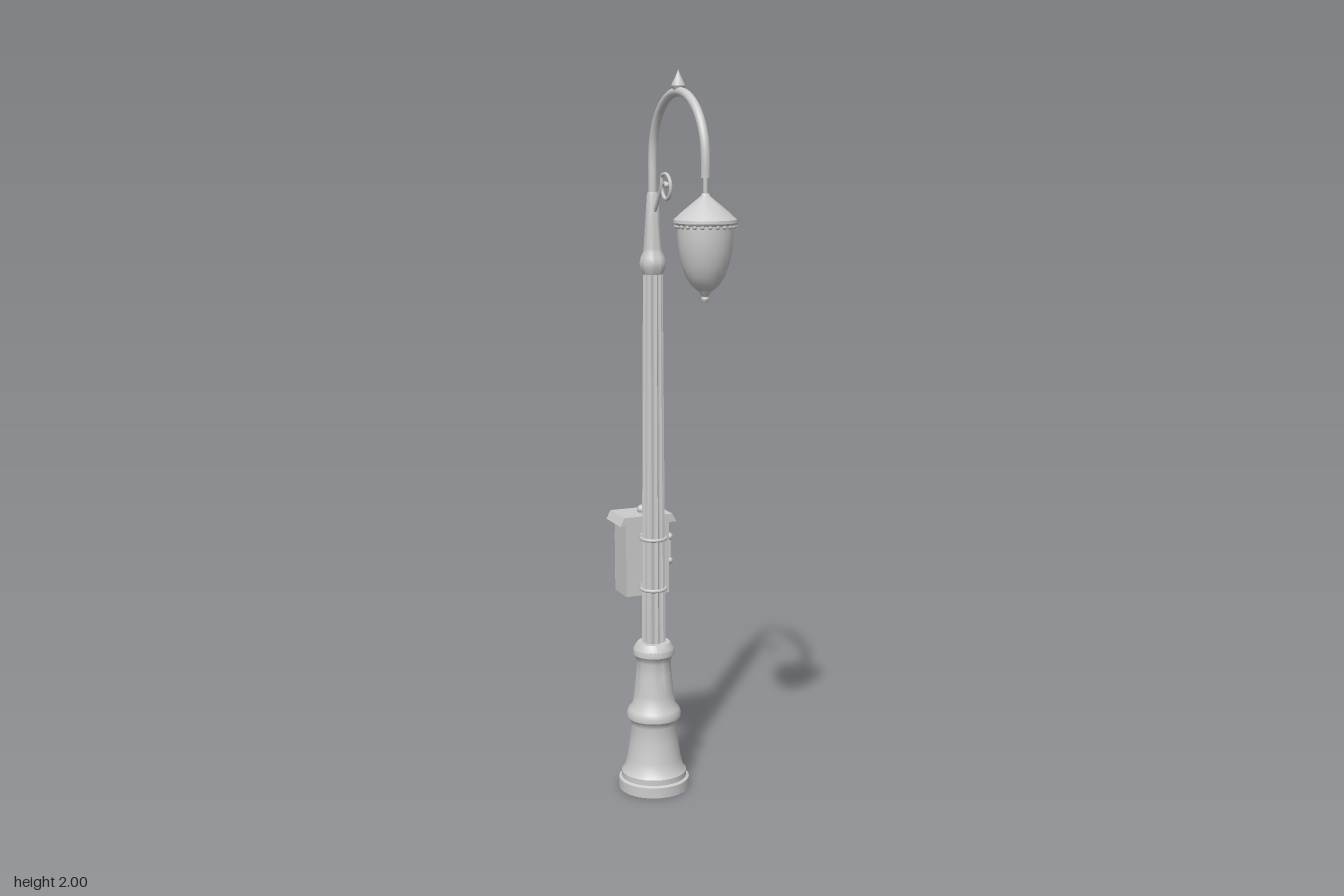
import * as THREE from 'three';
import { toCreasedNormals } from 'three/addons/utils/BufferGeometryUtils.js';

const POLE_Z = -0.14, LAMP_Z = 0.2, BOX_Z = -0.225;
const material = new THREE.MeshStandardMaterial({ color: 0xcccccc, side: THREE.DoubleSide });

function add(parent, name, geometry, x = 0, y = 0, z = 0) {
  const mesh = new THREE.Mesh(geometry, material);
  mesh.name = name;
  mesh.position.set(x, y, z);
  parent.add(mesh);
  return mesh;
}

// Turned part from [radius, height] pairs, bottom to top
function turned(profile, sides = 32) {
  const points = profile.map(([r, y]) => new THREE.Vector2(r, y));
  return toCreasedNormals(new THREE.LatheGeometry(points, sides), 0.6);
}

function tube(points, radius, segments = 32, sides = 8) {
  const curve = new THREE.CatmullRomCurve3(points.map((p) => new THREE.Vector3(...p)));
  return new THREE.TubeGeometry(curve, segments, radius, sides);
}

// Tapered shaft with twelve rounded grooves
function flutedShaft(bottomRadius, topRadius, height) {
  const g = new THREE.CylinderGeometry(topRadius, bottomRadius, height, 96, 1, true);
  const p = g.attributes.position;
  for (let i = 0; i < p.count; i++) {
    const a = Math.atan2(p.getZ(i), p.getX(i));
    const k = 1 - 0.17 * Math.pow(Math.abs(Math.sin(a * 6)), 0.8);
    p.setX(i, p.getX(i) * k);
    p.setZ(i, p.getZ(i) * k);
  }
  return toCreasedNormals(g, 0.6);
}

function createPost() {
  const post = new THREE.Group();
  post.name = 'post';
  post.position.z = POLE_Z;
  add(post, 'base', turned([
    [0, 0], [0.1, 0], [0.1, 0.03], [0.092, 0.034], [0.092, 0.05], [0.083, 0.062],
    [0.076, 0.09], [0.069, 0.14], [0.065, 0.19], [0.068, 0.202], [0.076, 0.21],
    [0.077, 0.222], [0.072, 0.235], [0.06, 0.25], [0.056, 0.28], [0.05, 0.34],
    [0.048, 0.375], [0.051, 0.385], [0.058, 0.395], [0.058, 0.412], [0.046, 0.43], [0, 0.432],
  ]));
  add(post, 'flutedShaft', flutedShaft(0.034, 0.027, 1.06), 0, 0.95, 0);
  add(post, 'neck', turned([
    [0, 1.46], [0.027, 1.465], [0.034, 1.48], [0.036, 1.495], [0.033, 1.51],
    [0.026, 1.525], [0.025, 1.535], [0.021, 1.6], [0.016, 1.675], [0.013, 1.685], [0, 1.685],
  ], 24));
  return post;
}

function createArm() {
  const arm = new THREE.Group();
  arm.name = 'arm';
  // Half-circle gooseneck with straight ends
  const path = [[0, 1.66, POLE_Z], [0, 1.72, POLE_Z]];
  for (let i = 0; i <= 12; i++) {
    const a = Math.PI * (1 - i / 12);
    path.push([0, 1.775 + 0.17 * Math.sin(a), 0.03 + 0.17 * Math.cos(a)]);
  }
  path.push([0, 1.735, LAMP_Z]);
  add(arm, 'gooseneck', tube(path, 0.012, 56, 12));
  add(arm, 'gooseneckEnd', new THREE.CylinderGeometry(0.012, 0.012, 0.004, 12), 0, 1.735, LAMP_Z);
  add(arm, 'finial', turned([
    [0, 1.945], [0.013, 1.95], [0.018, 1.96], [0.015, 1.968], [0.007, 1.984], [0, 2],
  ], 16), 0, 0, 0.03);
  // Scroll bracket
  const scroll = [[0, 1.635, -0.125], [0, 1.67, -0.1], [0, 1.705, -0.08]];
  for (let i = 0; i <= 18; i++) {
    const a = 0.9 + i * 0.42, r = 0.041 - i * 0.0016;
    scroll.push([0, 1.696 + r * Math.sin(a), -0.051 - r * Math.cos(a)]);
  }
  add(arm, 'scroll', tube(scroll, 0.005, 80));
  add(arm, 'scrollTip', new THREE.SphereGeometry(0.008, 10, 8), ...scroll[scroll.length - 1]);
  return arm;
}

function createLantern() {
  const lantern = new THREE.Group();
  lantern.name = 'lantern';
  lantern.position.z = LAMP_Z;
  add(lantern, 'hanger', new THREE.CylinderGeometry(0.006, 0.006, 0.07, 10), 0, 1.715, 0);
  add(lantern, 'hood', turned([
    [0.068, 1.616], [0.077, 1.616], [0.081, 1.622], [0.08, 1.63], [0.058, 1.65],
    [0.03, 1.673], [0.012, 1.688], [0.008, 1.695], [0, 1.695],
  ], 24));
  add(lantern, 'globe', turned([
    [0, 1.446], [0.02, 1.452], [0.036, 1.466], [0.05, 1.488], [0.061, 1.518],
    [0.068, 1.553], [0.071, 1.59], [0.07, 1.62], [0, 1.622],
  ], 24));
  add(lantern, 'drop', turned([
    [0, 1.42], [0.007, 1.423], [0.01, 1.43], [0.008, 1.437], [0.013, 1.444], [0.018, 1.452], [0, 1.455],
  ], 14));
  // Beads under the rim
  for (let i = 0; i < 24; i++) {
    const a = (i / 24) * Math.PI * 2;
    add(lantern, 'rimBead', new THREE.SphereGeometry(0.006, 8, 6), 0.074 * Math.cos(a), 1.614, 0.074 * Math.sin(a));
  }
  return lantern;
}

function createControlBox() {
  const box = new THREE.Group();
  box.name = 'controlBox';
  add(box, 'cabinet', new THREE.BoxGeometry(0.13, 0.21, 0.085), 0, 0.66, BOX_Z);
  // Sloped-side roof
  const roof = new THREE.Shape([[-0.085, 0], [0.085, 0], [0.072, 0.024], [-0.072, 0.024]]
    .map(([x, y]) => new THREE.Vector2(x, y)));
  add(box, 'roof', new THREE.ExtrudeGeometry(roof, { depth: 0.108, bevelEnabled: false }), 0, 0.762, -0.283);
  add(box, 'roofKnob', new THREE.SphereGeometry(0.013, 14, 10), 0, 0.794, -0.227);

  // Back door with louvres, screws and hinges
  add(box, 'door', new THREE.BoxGeometry(0.108, 0.18, 0.006), 0, 0.656, -0.269);
  for (let i = 0; i < 4; i++) {
    for (const x of [-0.013, 0.013]) {
      add(box, 'louvre', new THREE.BoxGeometry(0.02, 0.005, 0.004), x, 0.685 + i * 0.011, -0.273);
    }
  }
  for (const x of [-0.042, 0.042]) {
    for (const y of [0.585, 0.728]) {
      const screw = add(box, 'screw', new THREE.CylinderGeometry(0.005, 0.005, 0.005, 10), x, y, -0.273);
      screw.rotation.x = Math.PI / 2;
    }
  }
  for (const y of [0.6, 0.71]) {
    add(box, 'hinge', new THREE.CylinderGeometry(0.005, 0.005, 0.025, 10), -0.06, y, -0.27);
  }

  // Side handle
  add(box, 'handleBar', new THREE.CylinderGeometry(0.007, 0.007, 0.07, 12), 0.084, 0.672, -0.224);
  for (const y of [0.637, 0.707]) {
    add(box, 'handleKnob', new THREE.SphereGeometry(0.011, 12, 10), 0.084, y, -0.224);
    const stub = add(box, 'handleStub', new THREE.CylinderGeometry(0.005, 0.005, 0.022, 8), 0.073, y, -0.224);
    stub.rotation.z = Math.PI / 2;
  }

  // Clamps around the post
  for (const y of [0.585, 0.73]) {
    const band = add(box, 'clampBand', new THREE.TorusGeometry(0.034, 0.005, 8, 28), 0, y, POLE_Z);
    band.rotation.x = Math.PI / 2;
    for (const x of [-0.022, 0.022]) {
      add(box, 'clampArm', new THREE.BoxGeometry(0.008, 0.01, 0.03), x, y, -0.173);
    }
  }
  return box;
}

export function createModel() {
  const model = new THREE.Group();
  model.name = 'streetLamp';
  model.add(createPost(), createArm(), createLantern(), createControlBox());
  // Slack cable down the back of the post
  add(model, 'cable', tube([
    [0.006, 1.63, -0.157], [0.012, 1.55, -0.168], [0.018, 1.46, -0.171], [0.014, 1.3, -0.169],
    [0.018, 1.15, -0.173], [0.015, 1.0, -0.174], [0.018, 0.88, -0.177], [0.015, 0.76, -0.179],
    [0.012, 0.6, -0.178], [0.014, 0.5, -0.178], [0.01, 0.42, -0.176],
  ], 0.004, 60, 6));
  return model;
}
